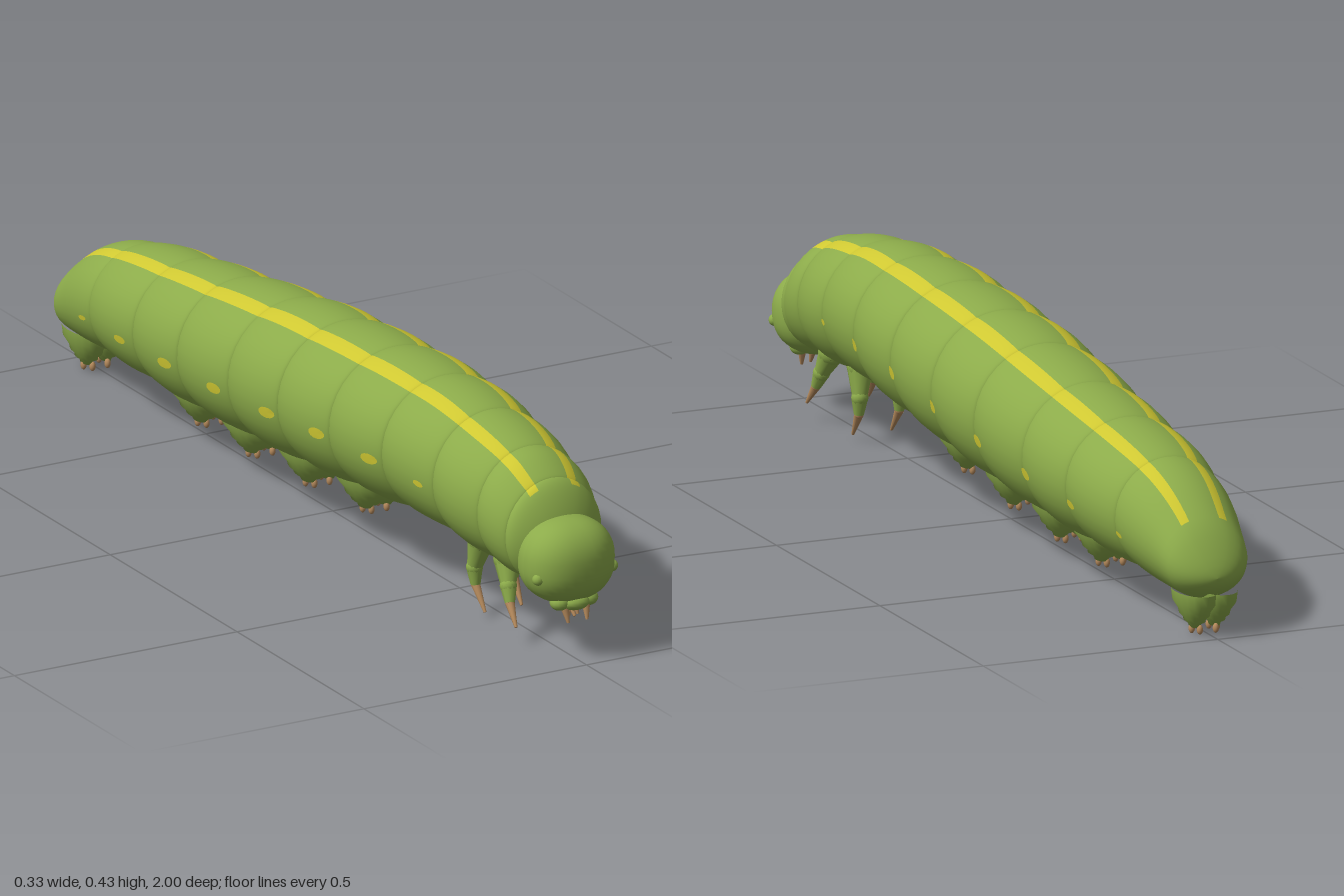
import * as THREE from 'three';

const mat = (name, color) => {
  const m = new THREE.MeshStandardMaterial({ color });
  m.name = name;
  return m;
};

// Body envelope: z, half width, top, bottom
const ENVELOPE = [
  [0.92, 0.10, 0.315, 0.12], [0.87, 0.11, 0.345, 0.125], [0.80, 0.121, 0.38, 0.132], [0.68, 0.136, 0.408, 0.138],
  [0.53, 0.148, 0.428, 0.145], [0.35, 0.16, 0.432, 0.133], [0.15, 0.164, 0.425, 0.115], [-0.05, 0.164, 0.412, 0.10],
  [-0.26, 0.158, 0.388, 0.088], [-0.46, 0.148, 0.363, 0.08], [-0.65, 0.137, 0.338, 0.08], [-0.78, 0.122, 0.313, 0.076],
  [-0.86, 0.106, 0.282, 0.072], [-0.93, 0.09, 0.235, 0.07], [-1.0, 0.08, 0.17, 0.075],
];
// Creases between body segments, front to rear
const CREASES = [0.92, 0.86, 0.77, 0.62, 0.44, 0.245, 0.045, -0.155, -0.37, -0.56, -0.76, -1.0];
const LAST = CREASES.length - 2;

// Smooth interpolation of the envelope
function envelope(z) {
  const n = ENVELOPE.length;
  let i = 0;
  while (i < n - 2 && z < ENVELOPE[i + 1][0]) i++;
  const p = ENVELOPE[i], q = ENVELOPE[i + 1], d = q[0] - p[0], t = (z - p[0]) / d;
  const a = ENVELOPE[Math.max(i - 1, 0)], b = ENVELOPE[Math.min(i + 2, n - 1)];
  return [1, 2, 3].map(k => {
    const m0 = (q[k] - a[k]) / (q[0] - a[0]) * d, m1 = (b[k] - p[k]) / (b[0] - p[0]) * d;
    return (2 * t ** 3 - 3 * t * t + 1) * p[k] + (t ** 3 - 2 * t * t + t) * m0
      + (3 * t * t - 2 * t ** 3) * q[k] + (t ** 3 - t * t) * m1;
  });
}

// Centre height, half width and half height of segment s at z
function section(z, s) {
  const [w, top, bottom] = envelope(z);
  const t = THREE.MathUtils.clamp((CREASES[s] - z) / (CREASES[s] - CREASES[s + 1]), 0, 1);
  const openEnd = (s === 0 && t < 0.5) || (s === LAST && t > 0.5);
  const dip = openEnd ? 0 : 1 - Math.sqrt(Math.max(0, Math.sin(Math.PI * t)));
  const over = Math.max((z - 0.86) / 0.06, (-0.94 - z) / 0.06, 0);
  const cap = Math.sqrt(Math.max(0, 1 - over * over));
  return {
    c: (top + bottom) / 2,
    w: w * cap * (1 - 0.1 * dip),
    h: (top - bottom) / 2 * cap * (1 - 0.06 * dip),
  };
}

function surface(z, s, angle, scale = 1) {
  const { c, w, h } = section(z, s);
  return [w * scale * Math.sin(angle), c + h * scale * Math.cos(angle), z];
}

// Ring angles, with exact edges for the back stripes at 21 and 33 degrees
const HALF = [0, 7, 14, 21, 27, 33, 42, 52, 62, 72, 82, 92, 102, 112, 122, 132, 142, 152, 162, 171, 180];
const ANGLES = [...HALF, ...HALF.slice(1, -1).reverse().map(a => 360 - a)];

function segmentGeometry(s) {
  const rows = 20, n = ANGLES.length, pos = [], plain = [], striped = [];
  const zAt = i => THREE.MathUtils.lerp(CREASES[s], CREASES[s + 1], (1 - Math.cos(Math.PI * i / rows)) / 2);
  for (let i = 0; i <= rows; i++) {
    for (const a of ANGLES) pos.push(...surface(zAt(i), s, THREE.MathUtils.degToRad(a)));
  }
  for (let i = 0; i < rows; i++) {
    const zMid = (zAt(i) + zAt(i + 1)) / 2;
    for (let j = 0; j < n; j++) {
      const k = (j + 1) % n, a = i * n + j, b = i * n + k, c = a + n, d = b + n;
      const mid = (ANGLES[j] + (k ? ANGLES[k] : 360)) / 2, off = Math.min(mid, 360 - mid);
      const yellow = off > 21 && off < 33 && zMid < 0.875 && zMid > -0.93;
      (yellow ? striped : plain).push(a, b, c, b, d, c);
    }
  }
  const g = new THREE.BufferGeometry();
  g.setAttribute('position', new THREE.Float32BufferAttribute(pos, 3));
  g.setIndex([...plain, ...striped]);
  g.addGroup(0, plain.length, 0);
  g.addGroup(plain.length, striped.length, 1);
  g.computeVertexNormals();
  return g;
}

// Thin oval patch lying on the side of the body
function spotGeometry(z, y, side, size) {
  const s = CREASES.findIndex((c, i) => z <= c && z > CREASES[i + 1]);
  const { c, h } = section(z, s);
  const a0 = side * Math.acos((y - c) / h);
  const g = new THREE.CircleGeometry(1, 14), p = g.attributes.position;
  for (let i = 0; i < p.count; i++) {
    p.setXYZ(i, ...surface(z - 0.023 * size * p.getY(i), s, a0 + 0.075 * size * p.getX(i), 1.025));
  }
  g.computeVertexNormals();
  return g;
}

export function createModel() {
  const green = mat('leaf green', 0x8cab4a);
  const yellow = mat('stripe yellow', 0xcfc832);
  const tan = mat('claw tan', 0xb58a5c);
  const root = new THREE.Group();
  root.name = 'caterpillar';

  const add = (name, geometry, material, parent = root) => {
    const m = new THREE.Mesh(geometry, material);
    m.name = name;
    parent.add(m);
    return m;
  };
  const ball = (name, material, p, r, parent) => {
    const m = add(name, new THREE.SphereGeometry(1, 14, 10), material, parent);
    m.position.set(...p);
    m.scale.set(...r);
    return m;
  };
  // Tapered limb piece from a to b with a rounded joint at its start
  const taper = (name, material, a, b, ra, rb, parent) => {
    const p = new THREE.Vector3(...a), q = new THREE.Vector3(...b), d = q.clone().sub(p);
    const m = add(name, new THREE.CylinderGeometry(rb, ra, d.length(), 10), material, parent);
    m.position.copy(p).add(q).multiplyScalar(0.5);
    m.quaternion.setFromUnitVectors(new THREE.Vector3(0, 1, 0), d.normalize());
    ball(name + 'Joint', material, a, [ra, ra, ra], parent);
  };

  // Body
  for (let s = 0; s <= LAST; s++) add(s === LAST ? 'tailSegment' : 'bodySegment', segmentGeometry(s), [green, yellow]);

  // Head: slightly boxy ellipsoid
  const headGeo = new THREE.SphereGeometry(1, 32, 24), hp = headGeo.attributes.position;
  const boxy = v => Math.sign(v) * Math.abs(v) ** 0.88;
  for (let i = 0; i < hp.count; i++) {
    hp.setXYZ(i, 0.096 * boxy(hp.getX(i)), 0.085 * boxy(hp.getY(i)), 0.08 * boxy(hp.getZ(i)));
  }
  headGeo.computeVertexNormals();
  add('head', headGeo, green).position.set(0, 0.197, 0.92);
  ball('upperLip', green, [0, 0.118, 0.957], [0.03, 0.016, 0.022]);

  const SPOTS = [[0.585, 0.27, 0.6], [0.41, 0.268, 1], [0.215, 0.26, 1], [0.018, 0.24, 1],
    [-0.195, 0.222, 1], [-0.405, 0.205, 1], [-0.6, 0.19, 0.85], [-0.785, 0.172, 0.6]];
  // Four belly prolegs and the rear claspers: z, foot height, size
  const PROLEGS = [[0.165, 0.068, 1], [-0.06, 0.05, 1], [-0.285, 0.039, 1], [-0.485, 0.039, 1], [-0.935, 0.013, 0.8]];
  const PROFILE = [[0, -0.003], [0.02, 0], [0.025, 0.008], [0.04, 0.013], [0.041, 0.019],
    [0.056, 0.026], [0.059, 0.035], [0.08, 0.052], [0.085, 0.075]].map(p => new THREE.Vector2(...p));

  for (const side of [1, -1]) {
    for (const [z, y, size] of SPOTS) add('sideSpot', spotGeometry(z, y, side, size), yellow);

    // Mouthparts
    ball('cheek', green, [side * 0.032, 0.12, 0.95], [0.02, 0.016, 0.02]);
    ball('eyeBump', green, [side * 0.083, 0.178, 0.955], [0.012, 0.012, 0.012]);
    taper('jaw', tan, [side * 0.024, 0.112, 0.955], [side * 0.021, 0.08, 0.965], 0.009, 0.003);
    taper('feeler', tan, [side * 0.009, 0.108, 0.94], [side * 0.01, 0.088, 0.948], 0.007, 0.003);

    // Jointed front legs with curved claws
    const legs = [
      [[0.045, 0.155, 0.765], [0.056, 0.108, 0.79], [0.061, 0.078, 0.805], [0.066, 0.038, 0.838]],
      [[0.036, 0.155, 0.648], [0.043, 0.095, 0.634], [0.043, 0.06, 0.638], [0.041, 0.012, 0.672]],
    ];
    for (const points of legs) {
      const leg = new THREE.Group();
      leg.name = 'frontLeg';
      root.add(leg);
      const [a, b, c, d] = points.map(([x, y, z]) => [side * x, y, z]);
      taper('upperLeg', green, a, b, 0.027, 0.015, leg);
      taper('lowerLeg', green, b, c, 0.017, 0.01, leg);
      taper('claw', tan, c, d, 0.0095, 0.003, leg);
    }

    for (const [z, y, size] of PROLEGS) {
      const leg = new THREE.Group();
      leg.name = size < 1 ? 'rearClasper' : 'proleg';
      leg.position.set(side * 0.021, y, z);
      root.add(leg);
      add('foot', new THREE.LatheGeometry(PROFILE, 20), green, leg).scale.set(0.6 * size, 1, size);
      for (const dz of [-0.017, 0, 0.017]) {
        ball('toe', tan, [side * (dz ? -0.004 : 0.006), -0.003, dz], [0.006, 0.01, 0.007], leg);
      }
    }
  }
  return root;
}
